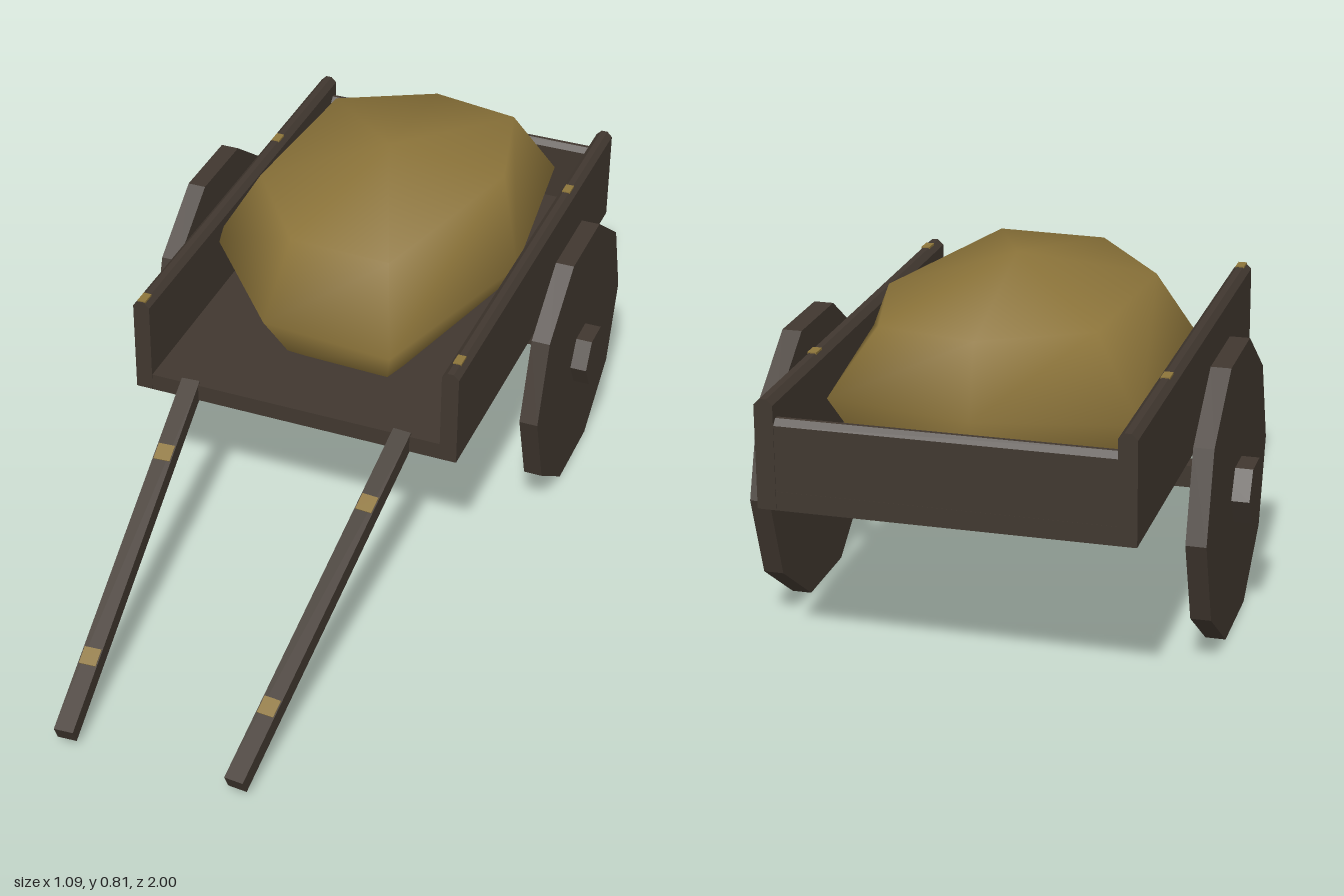
import * as THREE from 'three';

const wood = new THREE.MeshStandardMaterial({ color: 0x40372f });
wood.name = 'dark wood';
const straw = new THREE.MeshStandardMaterial({ color: 0x8c743a });
straw.name = 'straw gold';

export function createModel() {
  const cart = new THREE.Group();
  cart.name = 'handcart';

  function add(name, geometry, material, x = 0, y = 0, z = 0, parent = cart) {
    const mesh = new THREE.Mesh(geometry, material);
    mesh.name = name;
    mesh.position.set(x, y, z);
    parent.add(mesh);
    return mesh;
  }

  // Plank with a chamfered top edge, running along z from 0 to length
  function plank(width, height, length, chamfer = 0.013) {
    const w = width / 2;
    const shape = new THREE.Shape([
      [-w, 0], [w, 0], [w, height - chamfer], [w - chamfer, height],
      [chamfer - w, height], [-w, height - chamfer],
    ].map(([x, y]) => new THREE.Vector2(x, y)));
    return new THREE.ExtrudeGeometry(shape, { depth: length, bevelEnabled: false });
  }

  // Bed
  add('bedFloor', new THREE.BoxGeometry(0.8, 0.042, 1.168), wood, 0, 0.411, -0.415);
  add('backBoard', plank(0.035, 0.16, 0.74), wood, -0.37, 0.43, -0.981).rotation.y = Math.PI / 2;
  add('axle', new THREE.BoxGeometry(0.96, 0.05, 0.045), wood, 0, 0.345, -0.468);

  for (const side of [1, -1]) {
    const label = side > 0 ? 'left' : 'right';
    add(label + 'SideBoard', plank(0.041, 0.243, 1.17), wood, side * 0.384, 0.391, -1);

    // Ten-sided solid wheel, flat side down, with a six-sided hub
    const wheel = new THREE.CylinderGeometry(0.332, 0.332, 0.045, 10).toNonIndexed();
    wheel.computeVertexNormals();
    wheel.rotateZ(Math.PI / 2);
    add(label + 'Wheel', wheel, wood, side * 0.482, 0.316, -0.464);
    const hub = new THREE.CylinderGeometry(0.073, 0.073, 0.085, 6).toNonIndexed();
    hub.computeVertexNormals();
    hub.rotateZ(Math.PI / 2);
    add(label + 'Hub', hub, wood, side * 0.502, 0.317, -0.464);

    // Sloping handle with small bands on its upper face
    const start = new THREE.Vector3(side * 0.268, 0.418, 0.15);
    const end = new THREE.Vector3(side * 0.205, 0.04, 0.99);
    const handle = new THREE.Group();
    handle.name = label + 'Handle';
    handle.position.copy(start).lerp(end, 0.5);
    handle.lookAt(end);
    cart.add(handle);
    const length = start.distanceTo(end);
    add('handleShaft', new THREE.BoxGeometry(0.045, 0.043, length), wood, 0, 0, 0, handle);
    for (const t of [0.22, 0.8]) {
      add('handleBand', new THREE.BoxGeometry(0.04, 0.004, 0.042), straw, 0, 0.0215, (t - 0.5) * length, handle);
    }

    // Loose straw on the board tops
    for (const z of side > 0 ? [-0.69, 0.11] : [-0.65, 0.15]) {
      add('looseStraw', new THREE.BoxGeometry(0.02, 0.005, 0.035), straw, side * 0.384, 0.634, z);
    }
  }

  // Lumpy load: a wide middle ring, two narrower rings and two poles
  const middle = [
    [0.30, 0.59, -0.85], [-0.02, 0.58, -0.89], [-0.36, 0.57, -0.79], [-0.38, 0.57, -0.25],
    [-0.13, 0.56, 0.04], [0.20, 0.56, 0.07], [0.36, 0.59, -0.37],
  ];
  const narrow = [
    [0.20, -0.80], [-0.02, -0.84], [-0.25, -0.72], [-0.28, -0.30],
    [-0.10, -0.06], [0.15, -0.05], [0.27, -0.52],
  ];
  const ring = (y) => narrow.map(([x, z]) => [x, y, z]);
  const points = [...ring(0.41), ...middle, ...ring(0.742), [0, 0.337, -0.44], [0, 0.813, -0.44]];
  const n = middle.length;
  const faces = [];
  for (let i = 0; i < n; i++) {
    const j = (i + 1) % n;
    for (const r of [0, n]) {
      faces.push(r + i, r + j, r + n + j, r + i, r + n + j, r + n + i);
    }
    faces.push(j, i, 3 * n, 2 * n + i, 2 * n + j, 3 * n + 1);
  }
  const load = new THREE.BufferGeometry();
  load.setAttribute('position', new THREE.Float32BufferAttribute(points.flat(), 3));
  load.setIndex(faces);
  load.computeVertexNormals();
  add('strawLoad', load, straw);

  return cart;
}
